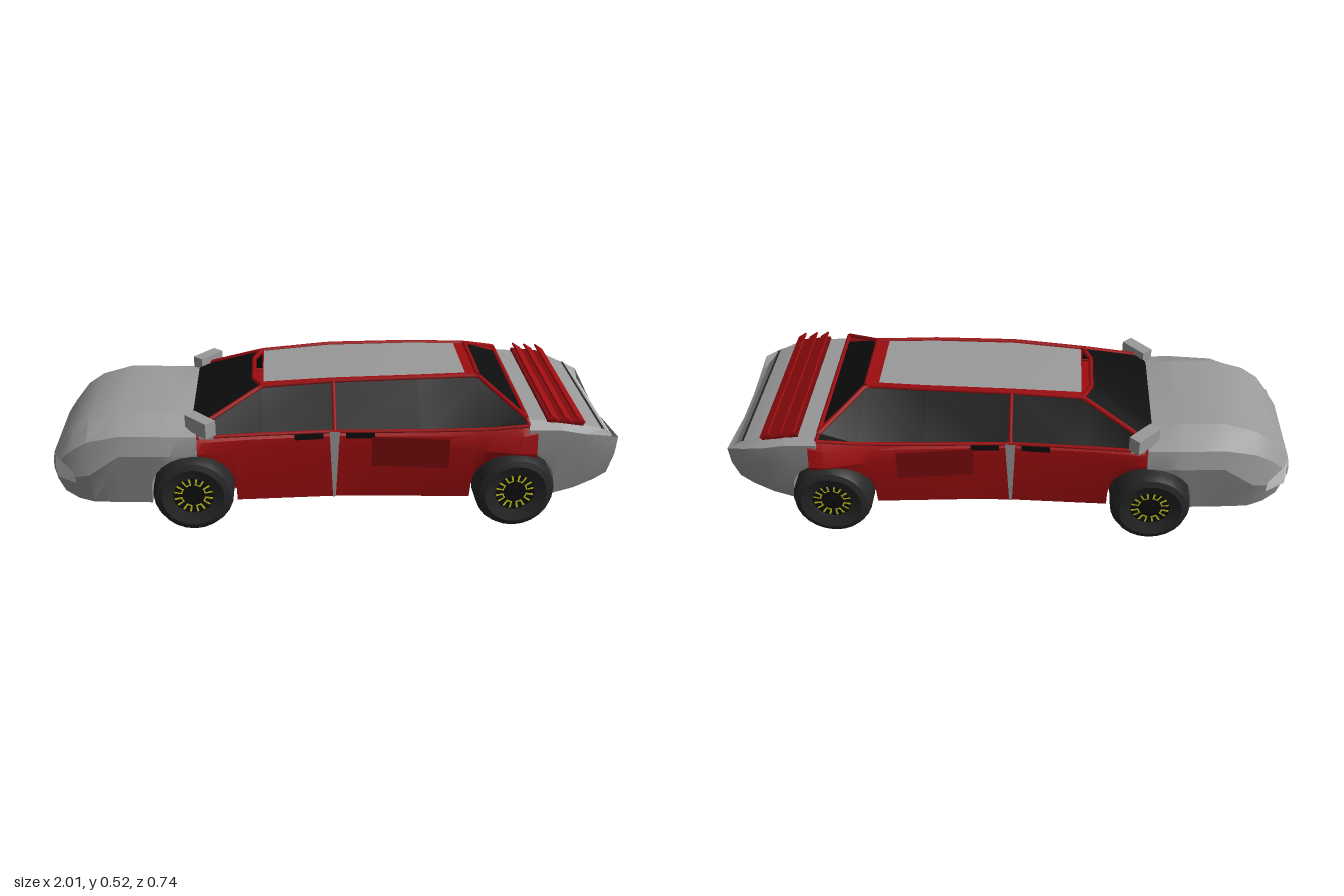
import * as THREE from 'three';
import { toCreasedNormals } from 'three/addons/utils/BufferGeometryUtils.js';

const mat = (color) => new THREE.MeshStandardMaterial({ color, side: THREE.DoubleSide });
const WELL_R = 0.15, WELL_Y = 0.145, WELL_Z = 0.18;
const AXLES = [{ x: -0.5, left: 0.262, right: 0.285 }, { x: 0.635, left: 0.295, right: 0.297 }];

// Body stations: x, then (y, z) of bottom edge, waist, shoulder and top edge
const NOSE = [
  [-1.0, 0.14, 0.16, 0.20, 0.19, 0.23, 0.19, 0.25, 0.16],
  [-0.97, 0.105, 0.19, 0.20, 0.23, 0.25, 0.225, 0.29, 0.18],
  [-0.92, 0.09, 0.22, 0.20, 0.265, 0.30, 0.25, 0.35, 0.20],
  [-0.86, 0.09, 0.25, 0.22, 0.29, 0.34, 0.27, 0.39, 0.20],
  [-0.75, 0.09, 0.26, 0.30, 0.305, 0.37, 0.29, 0.42, 0.20],
  [-0.6, 0.09, 0.27, 0.30, 0.315, 0.37, 0.30, 0.415, 0.20],
  [-0.48, 0.09, 0.27, 0.30, 0.31, 0.365, 0.30, 0.40, 0.20],
];
const CABIN = [
  [-0.48, 0.09, 0.265, 0.30, 0.305, 0.34, 0.295, 0.36, 0.28],
  [-0.3, 0.09, 0.262, 0.30, 0.282, 0.34, 0.278, 0.365, 0.26],
  [0, 0.09, 0.255, 0.30, 0.27, 0.34, 0.266, 0.36, 0.25],
  [0.15, 0.09, 0.26, 0.30, 0.278, 0.34, 0.275, 0.365, 0.255],
  [0.5, 0.09, 0.285, 0.30, 0.325, 0.35, 0.315, 0.375, 0.30],
  [0.65, 0.09, 0.295, 0.30, 0.362, 0.36, 0.345, 0.395, 0.32],
  [0.7, 0.09, 0.295, 0.30, 0.358, 0.37, 0.345, 0.395, 0.32],
];
const TAIL = [
  [0.67, 0.09, 0.285, 0.30, 0.335, 0.385, 0.343, 0.41, 0.31],
  [0.78, 0.09, 0.28, 0.30, 0.33, 0.38, 0.34, 0.40, 0.31],
  [0.87, 0.105, 0.265, 0.29, 0.325, 0.36, 0.335, 0.385, 0.31],
  [0.945, 0.125, 0.245, 0.27, 0.31, 0.345, 0.32, 0.355, 0.29],
  [1.0, 0.14, 0.22, 0.25, 0.28, 0.325, 0.295, 0.293, 0.25],
];

function lerpStation(keys, x) {
  let i = 0;
  while (i < keys.length - 2 && x > keys[i + 1][0]) i++;
  const t = (x - keys[i][0]) / (keys[i + 1][0] - keys[i][0]);
  return keys[i].map((v, k) => v + (keys[i + 1][k] - v) * t);
}

// Closed outline at x, cut upward by the wheel arches
function ring(keys, x) {
  const [, yb, zb, ym, zm, ys, zs, yt, zt] = lerpStation(keys, x);
  const dx = Math.min(...AXLES.map((a) => Math.abs(x - a.x)));
  let arch = [[yb, zb], [yb, zb], [yb, zb]];
  if (dx <= WELL_R + 1e-6) {
    const h = WELL_Y + Math.sqrt(Math.max(0, WELL_R ** 2 - dx * dx));
    arch = [[yb, WELL_Z], [h, WELL_Z], [h, zb + (zm - zb) * Math.min(1, (h - yb) / (ym - yb))]];
  }
  const half = [[yb, 0], ...arch, [ym, zm], [ys, zs], [yt, zt], [yt, 0]];
  const other = half.slice(1, -1).reverse().map(([y, z]) => [y, -z]);
  return { mid: [x, (ym + ys) / 2, 0], pts: [...half, ...other].map(([y, z]) => [x, y, z]) };
}

function loftBody(keys) {
  const lo = keys[0][0], hi = keys[keys.length - 1][0];
  const xs = keys.map((k) => k[0]);
  for (const a of AXLES) {
    for (let i = 0; i <= 12; i++) xs.push(a.x - WELL_R * Math.cos((i / 12) * Math.PI));
    xs.push(a.x - WELL_R - 0.001, a.x + WELL_R + 0.001);
  }
  const rings = [...new Set(xs)].filter((x) => x >= lo && x <= hi).sort((a, b) => a - b).map((x) => ring(keys, x));
  const pos = [], n = rings[0].pts.length;
  for (let s = 0; s < rings.length - 1; s++) {
    const A = rings[s].pts, B = rings[s + 1].pts;
    for (let i = 0; i < n; i++) {
      const j = (i + 1) % n;
      pos.push(...A[i], ...B[i], ...B[j], ...A[i], ...B[j], ...A[j]);
    }
  }
  const a = rings[0], b = rings[rings.length - 1];
  for (let i = 0; i < n; i++) {
    const j = (i + 1) % n;
    pos.push(...a.mid, ...a.pts[i], ...a.pts[j], ...b.mid, ...b.pts[j], ...b.pts[i]);
  }
  return creased(pos, 0.4);
}

function creased(pos, angle) {
  const g = new THREE.BufferGeometry();
  g.setAttribute('position', new THREE.Float32BufferAttribute(pos, 3));
  return toCreasedNormals(g, angle);
}

// Strip of quads between a lower and an upper line of points
function strip(low, up) {
  const pos = [];
  for (let i = 0; i < low.length - 1; i++)
    pos.push(...low[i], ...low[i + 1], ...up[i + 1], ...low[i], ...up[i + 1], ...up[i]);
  return creased(pos, 0.4);
}

const flip = ([x, y, z]) => [x, y, -z];
const across = (pts) => [...pts, ...pts.map(flip).reverse()];

export function createModel() {
  const car = new THREE.Group();
  const grey = mat(0x9a9a9a), pale = mat(0xcccccc), shade = mat(0x707070);
  const red = mat(0x9e0d10), darkRed = mat(0x7c0a0c);
  const glass = mat(0x0d0d0d), rubber = mat(0x262626), yellow = mat(0xc8c81c);
  const add = (name, geo, m, parent = car) => {
    const mesh = new THREE.Mesh(geo, m);
    mesh.name = name;
    parent.add(mesh);
    return mesh;
  };
  const box = (name, size, at, m, rot = [0, 0, 0]) => {
    const b = add(name, new THREE.BoxGeometry(...size), m);
    b.position.set(...at);
    b.rotation.set(...rot);
  };
  const rail = (name, pts, r = 0.007) => {
    const path = new THREE.CurvePath();
    const v = pts.map((p) => new THREE.Vector3(...p));
    for (let i = 0; i < v.length - 1; i++) path.add(new THREE.LineCurve3(v[i], v[i + 1]));
    add(name, new THREE.TubeGeometry(path, 10 * (v.length - 1), r, 6), red);
  };

  // Lower body and floor
  add('nose', loftBody(NOSE), grey);
  add('doors', loftBody(CABIN), red);
  add('tail', loftBody(TAIL), grey);
  box('floor', [0.83, 0.004, 0.5], [0.066, 0.089, 0], grey);
  box('floorSpine', [1.2, 0.004, 0.36], [0.07, 0.089, 0], grey);
  box('floorPatch', [0.42, 0.002, 0.11], [0.3, 0.087, 0.02], red);

  // Glasshouse
  const belt = [[-0.48, 0.36, 0.29], [-0.25, 0.36, 0.277], [0, 0.358, 0.264], [0.3, 0.365, 0.29], [0.53, 0.378, 0.315], [0.67, 0.395, 0.33]];
  const eave = [[-0.48, 0.388, 0.275], [-0.25, 0.49, 0.158], [0, 0.508, 0.165], [0.3, 0.511, 0.16], [0.515, 0.508, 0.147], [0.66, 0.42, 0.315]];
  const screenBase = across([[-0.48, 0.388, 0.275], [-0.495, 0.403, 0.2]]);
  const screenTop = across([[-0.25, 0.49, 0.158], [-0.28, 0.488, 0.09]]);
  const rearBase = across([[0.66, 0.42, 0.315]]), rearTop = across([[0.515, 0.508, 0.147]]);
  const glassBase = across([[0.66, 0.42, 0.27]]);
  add('windscreen', strip(screenTop, screenBase), glass);
  add('rearWindow', strip(glassBase, rearTop), glass);
  const roofEdge = eave.slice(1, 5);
  add('roof', strip(roofEdge, roofEdge.map(flip)), red);
  const inset = [[-0.245, 0.497, 0.137], [0, 0.512, 0.148], [0.3, 0.515, 0.145], [0.47, 0.514, 0.135]];
  add('roofPanel', strip(inset, inset.map(flip)), grey);
  rail('windscreenHeader', screenTop, 0.009);
  rail('rearHeader', rearTop, 0.009);
  rail('rearWindowSill', rearBase, 0.009);

  for (const s of [1, -1]) {
    const m = (p) => [p[0], p[1], s * p[2]];
    add('sideWindows', strip(belt.map(m), eave.map(m)), glass);
    rail('roofRail', eave.map(m), 0.009);
    rail('beltRail', belt.map(m));
    rail('centrePillar', [m(belt[2]), m(eave[2])]);
    rail('rearPillarEnd', [m(belt[5]), m(eave[5])]);
    add('rearPillar', creased([eave[4], eave[5], glassBase[0]].flatMap(m), 0), red);

    // Door seam, handles and panel
    add('doorSeam', strip([[-0.005, 0.09, 0.259], [0.005, 0.09, 0.259]].map(m), [[-0.018, 0.36, 0.274], [0.018, 0.36, 0.274]].map(m)), grey);
    for (const x of [-0.09, 0.09]) box('doorHandle', [0.1, 0.022, 0.012], [x, 0.345, s * 0.271], glass, [0, -s * 0.06 * Math.sign(x), 0]);
    const low = [[0.13, 0.225, 0.279], [0.4, 0.225, 0.311]], high = [[0.13, 0.342, 0.284], [0.4, 0.342, 0.317]];
    add('doorPanel', strip(low.map(m), high.map(m)), darkRed);

    // Mirror swept back on a short stalk
    box('mirror', [0.045, 0.056, 0.11], [-0.465, 0.402, s * 0.277], grey, [0, s * 0.75, 0]);
    box('mirrorStalk', [0.05, 0.02, 0.05], [-0.445, 0.37, s * 0.28], grey);

    // Headlight wrapped round the corner of the nose
    const lampLow = [[-1.003, 0.205, 0.17], [-0.982, 0.19, 0.235], [-0.91, 0.185, 0.28]];
    const lampTop = [[-0.995, 0.25, 0.17], [-0.975, 0.268, 0.235], [-0.915, 0.225, 0.277]];
    add('headlight', strip(lampLow.map(m), lampTop.map(m)), pale);

    // Tapered fin beside the rear plate
    add('plateFin', creased([[1.002, 0.293, 0.15], [1.002, 0.285, 0.18], [1.002, 0.21, 0.15]].flatMap(m), 0), shade);
  }

  // Rear deck louvres and sloping light band
  for (let i = 0; i < 3; i++)
    box('louvre', [0.038, 0.006, 0.65], [0.76 + i * 0.045, 0.417 - i * 0.004, 0], red, [0, 0, -0.6]);
  box('louvreBed', [0.13, 0.012, 0.63], [0.8, 0.398, 0], darkRed, [0, 0, -0.14]);
  add('lightBand', strip(across([[0.952, 0.351, 0.282], [0.975, 0.327, 0.265]]), across([[0.952, 0.351, 0.282], [1.0, 0.297, 0.24]])), pale);
  box('bandGap', [0.008, 0.006, 0.58], [0.942, 0.355, 0], rubber);

  // Wheels: turned tyre, dark rim, yellow inserts split by the spokes
  const tyreProfile = [[0.07, -0.06], [0.11, -0.073], [0.13, -0.065], [0.142, -0.04], [0.142, 0.04], [0.13, 0.065], [0.11, 0.073], [0.07, 0.06]]
    .map(([r, y]) => new THREE.Vector2(r, y));
  const tyreGeo = toCreasedNormals(new THREE.LatheGeometry(tyreProfile, 24), 0.6);
  const rimGeo = new THREE.CylinderGeometry(0.073, 0.073, 0.105, 24);
  const insertGeo = new THREE.RingGeometry(0.04, 0.068, 4, 1, -0.25, 0.5);
  const slotGeo = new THREE.RingGeometry(0.045, 0.07, 4, 1, -0.13, 0.26);
  const hubGeo = new THREE.CylinderGeometry(0.018, 0.022, 0.115, 12);
  for (const a of AXLES) for (const z of [a.left, -a.right]) {
    const wheel = new THREE.Group();
    wheel.name = 'wheel';
    wheel.position.set(a.x, 0.144, z);
    if (z < 0) wheel.rotation.y = Math.PI;
    for (const [name, geo, m] of [['tyre', tyreGeo, rubber], ['rim', rimGeo, glass], ['hub', hubGeo, glass]])
      add(name, geo, m, wheel).rotation.x = Math.PI / 2;
    for (let i = 0; i < 8; i++) {
      const angle = ((i + 0.5) / 8) * Math.PI * 2;
      const insert = add('rimInsert', insertGeo, yellow, wheel);
      insert.position.z = 0.0535;
      const slot = add('rimSlot', slotGeo, glass, wheel);
      slot.position.z = 0.0545;
      insert.rotation.z = slot.rotation.z = angle;
    }
    car.add(wheel);
  }
  return car;
}
